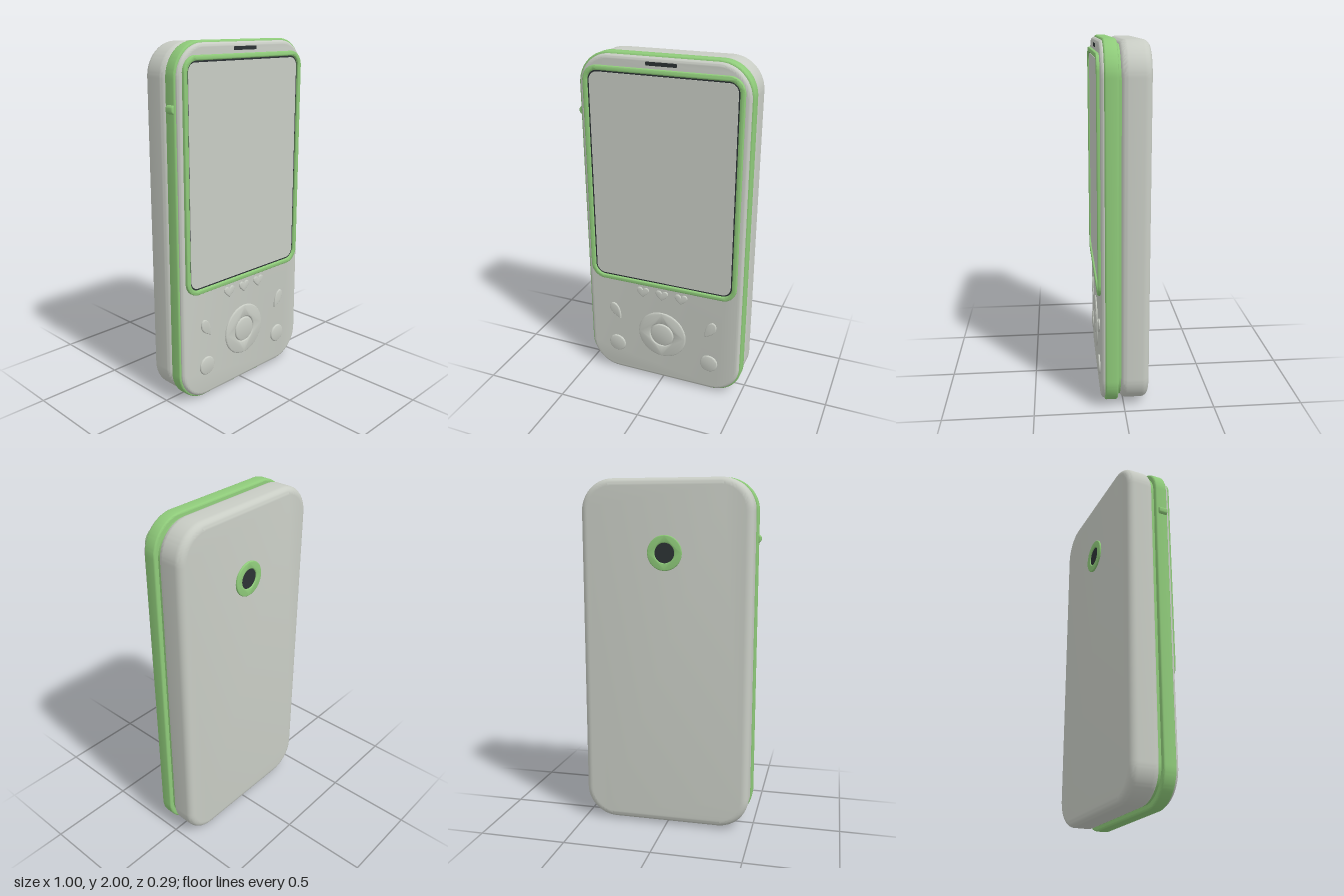
import * as THREE from 'three';
import { toCreasedNormals } from 'three/addons/utils/BufferGeometryUtils.js';

const mat = (name, color) => new THREE.MeshStandardMaterial({ name, color });

// Rounded rectangle centred on (0, 0)
function roundRect(w, h, r, Type = THREE.Shape) {
  const s = new Type(), x = w / 2, y = h / 2, q = Math.PI / 2;
  s.moveTo(-x + r, -y);
  s.lineTo(x - r, -y).absarc(x - r, -y + r, r, -q, 0);
  s.lineTo(x, y - r).absarc(x - r, y - r, r, 0, q);
  s.lineTo(-x + r, y).absarc(-x + r, y - r, r, q, 2 * q);
  s.lineTo(-x, -y + r).absarc(-x + r, -y + r, r, 2 * q, 3 * q);
  return s;
}

function disc(r, hole = 0) {
  const s = new THREE.Shape().absarc(0, 0, r, 0, Math.PI * 2);
  if (hole) s.holes.push(new THREE.Path().absarc(0, 0, hole, 0, Math.PI * 2));
  return s;
}

function heart() {
  const s = new THREE.Shape();
  s.moveTo(0, -0.033);
  s.bezierCurveTo(0.012, -0.02, 0.04, -0.005, 0.039, 0.014);
  s.bezierCurveTo(0.038, 0.036, 0.008, 0.038, 0, 0.016);
  s.bezierCurveTo(-0.008, 0.038, -0.038, 0.036, -0.039, 0.014);
  s.bezierCurveTo(-0.04, -0.005, -0.012, -0.02, 0, -0.033);
  return s;
}

// Teardrop with its tip at lower right
function teardrop() {
  const s = new THREE.Shape();
  s.moveTo(0.034, -0.055);
  s.bezierCurveTo(0.038, -0.02, 0.032, 0.03, -0.006, 0.048);
  s.bezierCurveTo(-0.036, 0.056, -0.042, 0.01, -0.03, -0.008);
  s.bezierCurveTo(-0.018, -0.03, 0.01, -0.045, 0.034, -0.055);
  return s;
}

export function createModel() {
  const group = new THREE.Group();
  const grey = mat('pale grey', 0xc8ccc4);
  const green = mat('leaf green', 0x8fcb7a);
  const dark = mat('charcoal', 0x2c3234);
  const CX = 0.007;

  // Extrude a shape from z0 to z1 with rounded edges kept inside its outline
  function part(name, shape, material, x, y, z0, z1, bevel = 0, segments = 5) {
    let geo = new THREE.ExtrudeGeometry(shape, {
      depth: z1 - z0 - 2 * bevel, curveSegments: 16,
      bevelEnabled: bevel > 0, bevelSize: bevel, bevelThickness: bevel,
      bevelOffset: -bevel, bevelSegments: segments,
    });
    geo.translate(0, 0, z0 + bevel);
    geo = toCreasedNormals(geo, 0.6);
    const mesh = new THREE.Mesh(geo, material);
    mesh.name = name;
    mesh.position.set(x, y, 0);
    group.add(mesh);
    return mesh;
  }

  // Case layers, back to front
  part('backShell', roundRect(0.973, 1.985, 0.18), grey, CX, 1.002, -0.135, 0.025, 0.04, 7);
  part('slideRail', roundRect(0.935, 1.945, 0.17), green, CX, 1, 0.015, 0.04);
  part('middleBand', roundRect(0.985, 2, 0.185), green, CX, 1, 0.034, 0.106, 0.01, 3);
  part('facePlate', roundRect(0.965, 1.98, 0.178), grey, CX, 1, 0.08, 0.126, 0.022, 6);

  // Display with raised frame
  const frame = roundRect(0.91, 1.28, 0.085);
  frame.holes.push(roundRect(0.856, 1.226, 0.06, THREE.Path));
  part('screenFrame', frame, green, 0.005, 1.29, 0.115, 0.143, 0.007, 4);
  part('screenBorder', roundRect(0.87, 1.24, 0.06), dark, 0.005, 1.29, 0.124, 0.13);
  part('screen', roundRect(0.838, 1.208, 0.05), grey, 0.005, 1.29, 0.129, 0.133);
  part('earpiece', roundRect(0.175, 0.02, 0.007), dark, 0.004, 1.956, 0.12, 0.1275);

  // Navigation pad and round keys
  part('navigationRing', disc(0.153, 0.077), grey, 0.003, 0.325, 0.115, 0.135, 0.009);
  part('selectKey', disc(0.074), grey, 0.003, 0.325, 0.115, 0.137, 0.009);
  for (const side of [-1, 1]) {
    part('roundKey', disc(0.055), grey, 0.003 + side * 0.302, 0.195, 0.115, 0.136, 0.009);
    // The teardrop keys mirror each other
    const drop = teardrop();
    const pts = drop.getPoints(12).map(p => new THREE.Vector2(-side * p.x, p.y));
    part('teardropKey', new THREE.Shape(pts), grey, 0.003 + side * 0.308, 0.434, 0.115, 0.135, 0.005, 3);
  }
  for (const i of [-1, 0, 1])
    part('heartKey', heart(), grey, 0.003 + i * 0.122, 0.597, 0.115, 0.134, 0.004, 3);

  // Small side button
  part('sideButton', disc(0.026), green, -0.474, 1.665, 0.05, 0.101, 0.005, 3);

  // Rear camera
  part('cameraRing', disc(0.098, 0.056), green, CX, 1.59, -0.145, -0.125, 0.004, 3);
  part('cameraLens', disc(0.06), dark, CX, 1.59, -0.139, -0.13);

  return group;
}
